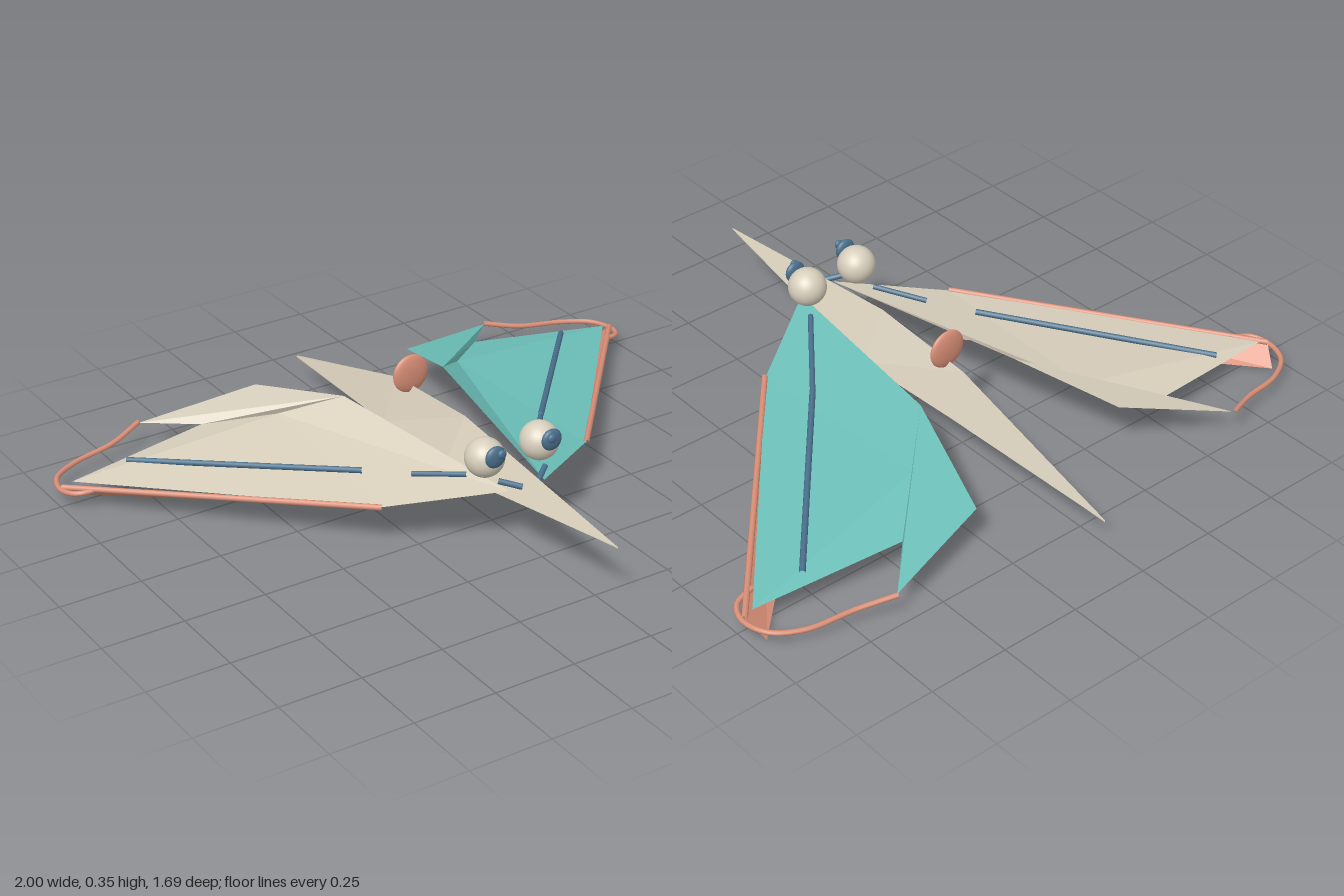
import * as THREE from 'three';

const mat = (name, color, side = THREE.FrontSide) => {
  const m = new THREE.MeshStandardMaterial({ color, side });
  m.name = name;
  return m;
};

export function createModel() {
  const group = new THREE.Group();
  const beige = mat('beige', 0xd8cfbc);
  const beigeSheet = mat('beige', 0xd8cfbc, THREE.DoubleSide);
  const tealSheet = mat('teal', 0x6cbfb8, THREE.DoubleSide);
  const clay = mat('terracotta', 0xd98f77);
  const claySheet = mat('terracotta', 0xd98f77, THREE.DoubleSide);
  const slate = mat('slate blue', 0x4a708c);

  const add = (name, geometry, material, parent = group) => {
    const m = new THREE.Mesh(geometry, material);
    m.name = name;
    parent.add(m);
    return m;
  };

  // Flat-shaded faces from lists of corner points
  const facets = (tris) => {
    const g = new THREE.BufferGeometry();
    g.setAttribute('position', new THREE.Float32BufferAttribute(tris.flat(2), 3));
    g.computeVertexNormals();
    return g;
  };

  // Tube through points; straight when only two are given
  const tube = (pts, r, seg = 1) => {
    const v = pts.map((p) => new THREE.Vector3(...p));
    const path = v.length === 2 ? new THREE.LineCurve3(v[0], v[1]) : new THREE.CatmullRomCurve3(v);
    return new THREE.TubeGeometry(path, seg, r, 8);
  };

  // Body: long spindle with diamond cross-sections [z, top, half width, side y, bottom]
  const sections = [
    [0.845, 0.202, 0.001, 0.2, 0.196],
    [0.11, 0.28, 0.078, 0.13, 0.105],
    [-0.25, 0.255, 0.052, 0.12, 0.08],
    [-0.845, 0.084, 0.001, 0.08, 0.076],
  ].map(([z, t, w, sy, b]) => [[0, t, z], [w, sy, z], [0, b, z], [-w, sy, z]]);
  const bodyTris = [];
  for (let i = 0; i < 3; i++) {
    for (let j = 0; j < 4; j++) {
      const k = (j + 1) % 4;
      const a = sections[i][j], b = sections[i][k];
      const c = sections[i + 1][j], d = sections[i + 1][k];
      bodyTris.push([a, b, c], [b, d, c]);
    }
  }
  add('body', facets(bodyTris), beigeSheet);

  // Round disc fin above the back
  const disc = add('dorsalDisc', new THREE.SphereGeometry(0.06, 28, 18), clay);
  disc.scale.z = 0.27;
  disc.position.set(0, 0.297, -0.178);

  for (const s of [1, -1]) {
    const side = s > 0 ? 'left' : 'right';
    const wing = new THREE.Group();
    wing.name = side + 'WingAssembly';
    group.add(wing);
    const at = (x, y, z) => [s * x, y, z];
    const tri = (a, b, c) => (s > 0 ? [a, b, c] : [a, c, b]);
    const sheet = s > 0 ? tealSheet : beigeSheet;

    // Main wing sheet with its creases
    const root = at(0.06, 0.195, 0.42), kink = at(0.35, 0.14, 0.22);
    const tip = at(0.955, 0.07, -0.51), rear = at(0.5, 0.105, s > 0 ? -0.58 : -0.56);
    const peak = at(0.175, 0.232, -0.27), mid = at(0.32, 0.155, -0.41);
    add(side + 'Wing', facets([
      tri(root, kink, mid), tri(kink, tip, mid),
      tri(mid, tip, rear), tri(root, mid, peak),
    ]), sheet, wing);

    // Folded rear flap, dropped lower on the left
    const f1 = s > 0 ? at(0.27, 0.125, -0.62) : at(0.3, 0.175, -0.58);
    const f2 = at(0.63, 0.08, -0.715);
    add(side + 'RearFlap', facets([
      tri(peak, f2, f1), tri(peak, rear, f2), tri(peak, mid, rear),
    ]), sheet, wing);

    // Leading edge plate hanging below the wing, with a rounded upper rim
    const a = at(0.352, 0.14, 0.222), b = at(0.985, 0.058, -0.515);
    const c = at(0.955, 0.004, -0.57), d = at(0.28, 0.06, 0.09);
    add(side + 'EdgePlate', facets([tri(a, d, c), tri(a, c, b)]), claySheet, wing);
    add(side + 'EdgeRim', tube([a, b], 0.009), clay, wing);

    // Curved wire from the wing tip to the flap
    add(side + 'TipWire', tube([
      at(0.9, 0.065, -0.435), at(0.965, 0.058, -0.455), at(0.99, 0.052, -0.51),
      at(0.965, 0.05, -0.59), at(0.88, 0.05, -0.645), at(0.74, 0.06, -0.675),
      at(0.63, 0.08, -0.72),
    ], 0.008, 48), clay, wing);

    // Slate ribs lying on the wing
    const bend = s > 0 ? at(0.31, 0.168, 0.05) : at(0.22, 0.185, 0.17);
    add(side + 'InnerRib', tube([at(0.12, 0.212, 0.3), bend], 0.008), slate, wing);
    add(side + 'OuterRib', tube([at(0.31, 0.168, 0.05), at(0.78, 0.094, -0.5)], 0.009), slate, wing);

    // Eye: ball, flattened pupil and a small centre bead
    add(side + 'Eye', new THREE.SphereGeometry(0.058, 28, 20), beige, wing)
      .position.set(s * 0.093, 0.28, 0.347);
    const pupil = add(side + 'Pupil', new THREE.SphereGeometry(0.033, 24, 16), slate, wing);
    pupil.scale.z = 0.45;
    pupil.position.set(s * 0.095, 0.305, 0.403);
    const bead = add(side + 'PupilBead', new THREE.SphereGeometry(0.014, 16, 12), slate, wing);
    bead.scale.z = 0.6;
    bead.position.set(s * 0.085, 0.318, 0.42);

    // Short feeler under the eye
    add(side + 'Feeler', tube([at(0.025, 0.205, 0.435), at(0.08, 0.222, 0.395)], 0.009), slate, wing);
  }

  return group;
}
